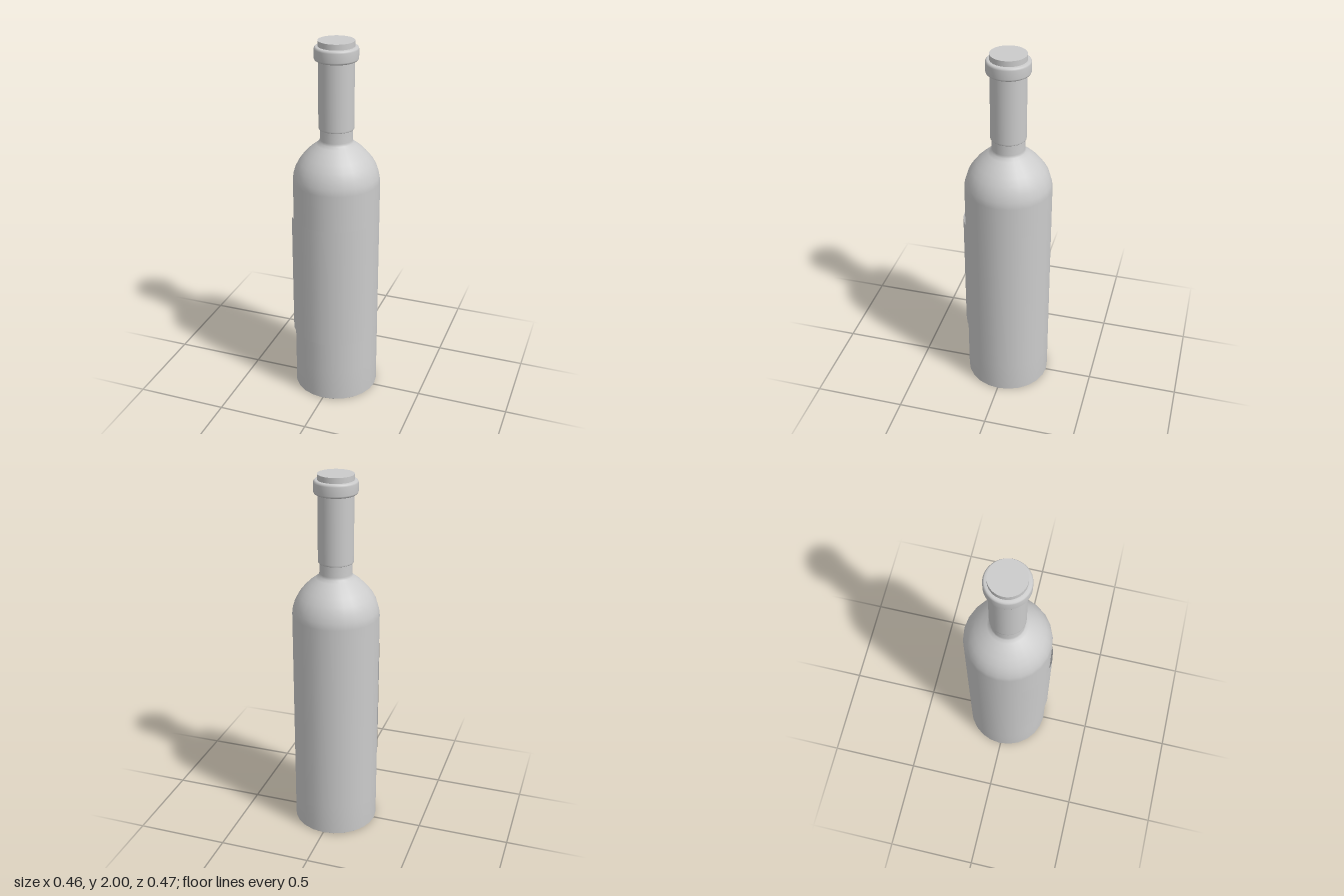
import * as THREE from 'three';

const grey = new THREE.MeshStandardMaterial({ color: 0xcccccc });
const sheet = new THREE.MeshStandardMaterial({ color: 0xcccccc, side: THREE.DoubleSide });

// Revolve a profile of [radius, height] points, listed from bottom to top
function turned(name, profile, segments) {
  const points = profile.map(([r, y]) => new THREE.Vector2(r, y));
  const mesh = new THREE.Mesh(new THREE.LatheGeometry(points, segments), grey);
  mesh.name = name;
  return mesh;
}

export function createModel() {
  const bottle = new THREE.Group();
  bottle.name = 'bottle';

  // Glass: hollow punt underneath, straight body, domed shoulder, neck
  bottle.add(turned('glass', [
    [0, 0.1], [0.04, 0.092], [0.08, 0.065], [0.11, 0.03], [0.135, 0.004], [0.145, 0],
    [0.226, 0], [0.232, 0.005], [0.232, 0.18], [0.232, 1.25],
    [0.228, 1.285], [0.216, 1.325], [0.197, 1.362], [0.17, 1.397], [0.135, 1.432],
    [0.105, 1.455], [0.09, 1.468], [0.086, 1.482], [0.086, 1.56],
  ], 24));

  // Foil sleeve around the neck, closed at its lower edge
  bottle.add(turned('foilSleeve', [
    [0.08, 1.54], [0.091, 1.54], [0.093, 1.543], [0.093, 1.55], [0.093, 1.92],
  ], 48));

  // Rounded ring below the mouth
  bottle.add(turned('lipRing', [
    [0.085, 1.9], [0.105, 1.9], [0.111, 1.904], [0.114, 1.912],
    [0.114, 1.958], [0.111, 1.966], [0.105, 1.971], [0.085, 1.971],
  ], 48));

  // Flat cap at the mouth
  const cap = new THREE.Mesh(new THREE.CylinderGeometry(0.094, 0.094, 0.06, 48), grey);
  cap.name = 'mouthCap';
  cap.position.y = 1.97;
  bottle.add(cap);

  // Curved label wrapped around the front third
  const label = new THREE.Mesh(
    new THREE.CylinderGeometry(0.242, 0.242, 0.69, 8, 1, true, -Math.PI / 3, Math.PI * 2 / 3),
    sheet);
  label.name = 'label';
  label.position.y = 0.71;
  bottle.add(label);

  bottle.position.z = -0.005;
  const model = new THREE.Group();
  model.add(bottle);
  return model;
}
